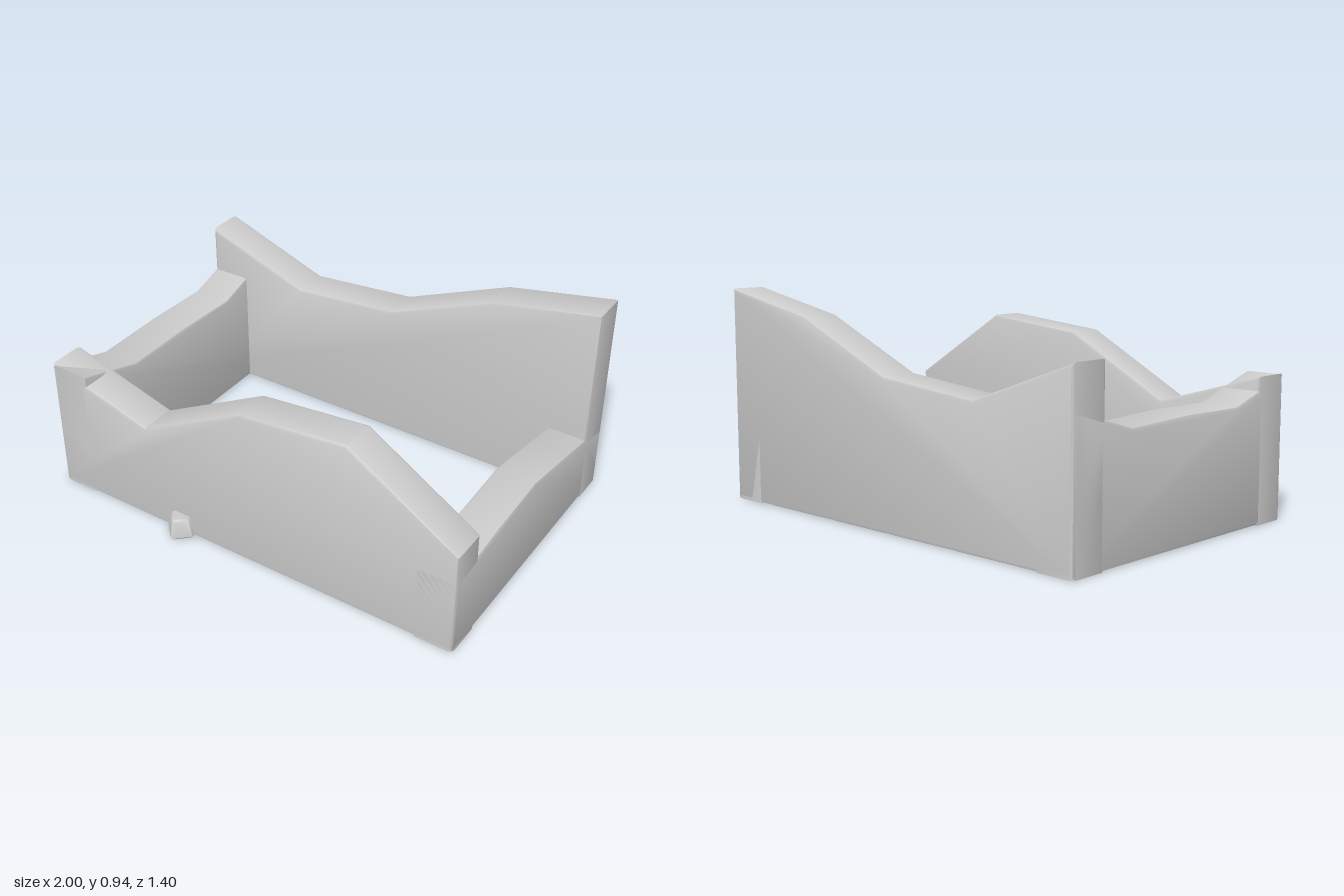
import * as THREE from 'three';
import { toCreasedNormals } from 'three/addons/utils/BufferGeometryUtils.js';

const BEVEL = 0.015;
const material = new THREE.MeshStandardMaterial({ color: 0xcccccc });

// Upright slab: a base line at y = 0 and a broken top line, with softened edges
function slab(topLine, thickness) {
  const first = topLine[0][0];
  const last = topLine[topLine.length - 1][0];
  const outline = [[first, 0], [last, 0], ...topLine.slice().reverse()];
  const shape = new THREE.Shape(outline.map(([x, y]) => new THREE.Vector2(x, y)));
  const geometry = new THREE.ExtrudeGeometry(shape, {
    depth: thickness - 2 * BEVEL,
    bevelThickness: BEVEL,
    bevelSize: BEVEL,
    bevelOffset: -BEVEL,
    bevelSegments: 2,
  });
  geometry.translate(0, 0, BEVEL);
  return toCreasedNormals(geometry, 0.7);
}

// Stone: a diamond with cut corners, tapering upwards
function stone(radius, height) {
  const cut = radius * 0.16;
  const edge = radius - cut;
  const corners = [
    [radius, -cut], [radius, cut], [cut, radius], [-cut, radius],
    [-radius, cut], [-radius, -cut], [-cut, -radius], [cut, -radius],
  ];
  const shape = new THREE.Shape(corners.map(([x, y]) => new THREE.Vector2(x, y)));
  const bevel = edge * 0.15;
  const geometry = new THREE.ExtrudeGeometry(shape, {
    depth: height - 2 * bevel,
    bevelThickness: bevel,
    bevelSize: bevel,
    bevelOffset: -bevel,
    bevelSegments: 1,
  });
  geometry.translate(0, 0, bevel).rotateX(-Math.PI / 2);
  const position = geometry.attributes.position;
  for (let i = 0; i < position.count; i++) {
    const scale = 1 - 0.3 * position.getY(i) / height;
    position.setX(i, position.getX(i) * scale);
    position.setZ(i, position.getZ(i) * scale);
  }
  return toCreasedNormals(geometry, 0.7);
}

export function createModel() {
  const group = new THREE.Group();
  const add = (name, geometry, x, y, z) => {
    const mesh = new THREE.Mesh(geometry, material);
    mesh.name = name;
    mesh.position.set(x, y, z);
    group.add(mesh);
  };

  // Long walls, top lines given as x, y
  const front = [[-1, 0.62], [-0.5, 0.475], [0, 0.74], [0.5, 0.79], [1, 0.48]];
  const back = [[-1, 0.775], [-0.5, 0.595], [0, 0.64], [0.5, 0.85], [1, 0.945]];
  add('frontWall', slab(front, 0.175), 0, 0, 0.45);
  add('backWall', slab(back, 0.175), 0, 0, -0.7);

  // Short walls, top lines given as z, y, running through to the outer faces
  const left = [[-0.7, 0.285], [-0.367, 0.35], [-0.035, 0.41], [0.298, 0.39], [0.625, 0.35]];
  const right = [[-0.7, 0.61], [-0.367, 0.51], [-0.035, 0.52], [0.298, 0.515], [0.625, 0.615]];
  add('leftWall', slab(left, 0.185).rotateY(-Math.PI / 2), 1, 0, 0);
  add('rightWall', slab(right, 0.185).rotateY(-Math.PI / 2), -0.815, 0, 0);

  // Loose stones at the foot of the walls
  add('frontStone', stone(0.067, 0.095), -0.33, 0, 0.632);
  add('innerStone', stone(0.041, 0.058), 0.675, 0, -0.48);

  return group;
}
